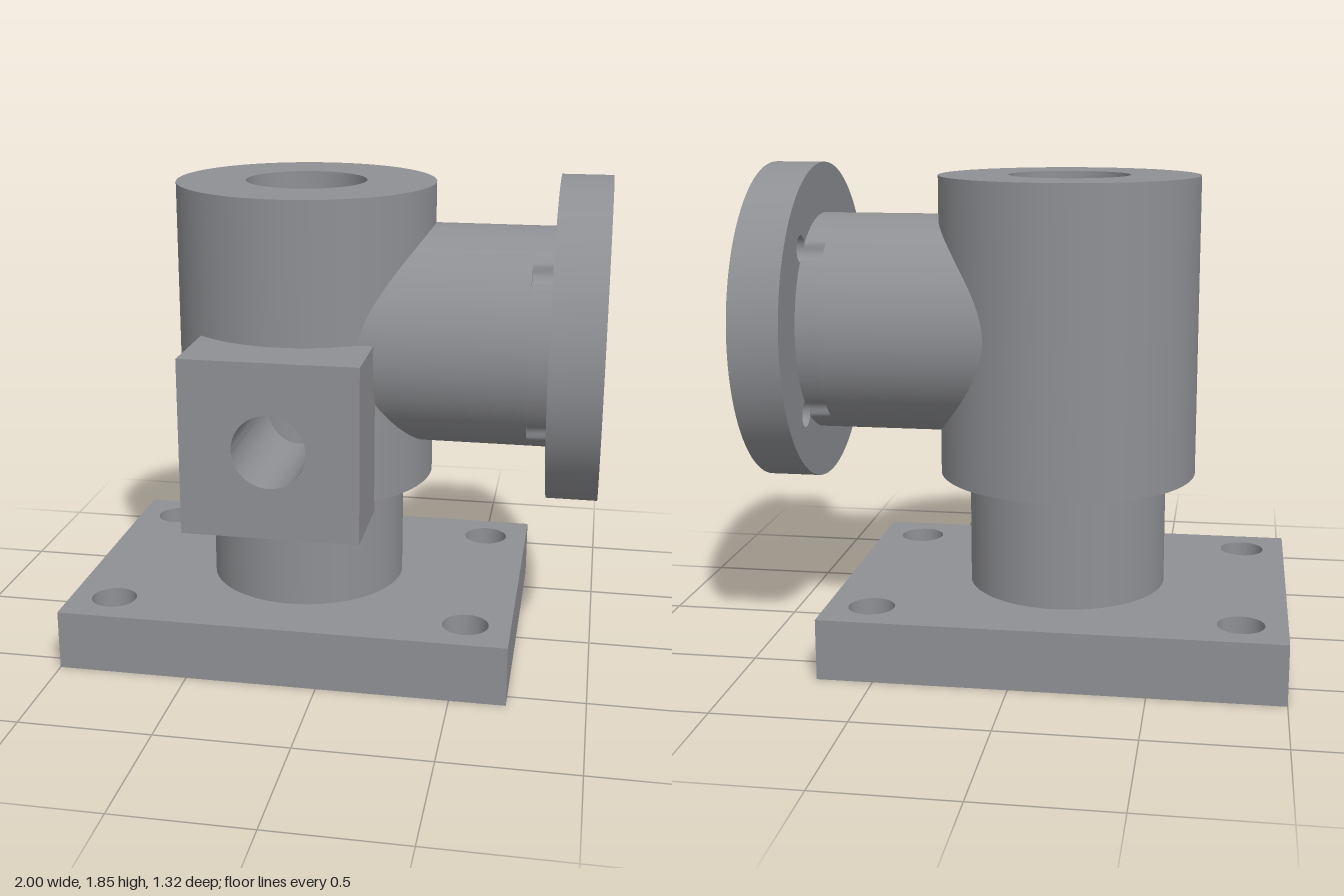
import * as THREE from 'three';
import { mergeGeometries, toCreasedNormals } from 'three/addons/utils/BufferGeometryUtils.js';

const SEG = 160;
const BORE_TOP = 0.23, BORE_LOW = 0.193, STEP_Y = 1.14, FLOOR_Y = 0.5;
const SIDE_Y = 1.24, SIDE_R = 0.21, PORT_Y = 0.955, PORT_R = 0.135;

// Closed loop of points from a rule of angle
const loop = (rule) => Array.from({ length: SEG }, (_, i) => rule((i / SEG) * Math.PI * 2));

// Skin between two closed loops
function loft(a, b, flip = false) {
  const g = new THREE.BufferGeometry().setFromPoints([...a, ...b]);
  const idx = [];
  for (let i = 0; i < SEG; i++) {
    const j = (i + 1) % SEG;
    if (flip) idx.push(i, j + SEG, j, i, i + SEG, j + SEG);
    else idx.push(i, j, j + SEG, i, j + SEG, i + SEG);
  }
  g.setIndex(idx);
  g.computeVertexNormals();
  return g;
}

// Upright round wall with round openings toward +x or +z (listed bottom to top)
function wall(R, y0, y1, holes, outward) {
  const clamp = (y) => Math.min(y1, Math.max(y0, y));
  const level = (h, sign) => (t) => {
    const off = R * (h.toSide ? Math.sin(t) : Math.cos(t));
    const ahead = h.toSide ? Math.cos(t) : Math.sin(t);
    const half = ahead > 0 && Math.abs(off) < h.r ? Math.sqrt(h.r * h.r - off * off) : 0;
    return clamp(h.y + sign * half);
  };
  const levels = [() => y0];
  for (const h of holes) levels.push(level(h, -1), level(h, 1));
  levels.push(() => y1);
  const loops = levels.map((f) => loop((t) => new THREE.Vector3(R * Math.cos(t), f(t), R * Math.sin(t))));
  const bands = [];
  for (let k = 0; k < loops.length; k += 2) bands.push(loft(loops[k], loops[k + 1], outward));
  return mergeGeometries(bands);
}

// Level bore running along +z, starting on the upright bore
function crossBore(r, y, end) {
  const point = (t, depth) => new THREE.Vector3(r * Math.cos(t), y + r * Math.sin(t), depth);
  const start = loop((t) => {
    const p = point(t, 0);
    const R = p.y >= STEP_Y ? BORE_TOP : BORE_LOW;
    return point(t, Math.sqrt(Math.max(0, R * R - p.x * p.x)));
  });
  return loft(start, loop((t) => point(t, end)), true);
}

function circleHole(x, y, r) {
  const p = new THREE.Path();
  p.absarc(x, y, r, 0, Math.PI * 2, true);
  return p;
}

// Plate with round holes [x, y, r], extruded along +z
function plate(shape, holes, depth) {
  shape.holes = holes.map((h) => circleHole(...h));
  const g = new THREE.ExtrudeGeometry(shape, { depth, bevelEnabled: false, curveSegments: 48 });
  return toCreasedNormals(g, 0.6);
}

function rectangle(hw, hh) {
  return new THREE.Shape([[-hw, -hh], [hw, -hh], [hw, hh], [-hw, hh]].map((p) => new THREE.Vector2(...p)));
}

const corners = (a, b, r) => [[-a, -b, r], [a, -b, r], [a, b, r], [-a, b, r]];

export function createModel() {
  const model = new THREE.Group();
  const housing = new THREE.Group();
  housing.name = 'valveHousing';
  housing.position.set(-0.145, 0, -0.045);
  model.add(housing);

  const metal = new THREE.MeshStandardMaterial({ color: 0x8f9094, side: THREE.DoubleSide });
  metal.name = 'greyMetal';
  const add = (name, geometry, y = 0) => {
    const m = new THREE.Mesh(geometry, metal);
    m.name = name;
    m.position.y = y;
    housing.add(m);
    return m;
  };

  // Base plate with four mounting holes, and the neck above it
  add('basePlate', plate(rectangle(0.855, 0.615), corners(0.685, 0.445, 0.087), 0.23).rotateX(-Math.PI / 2));
  add('neck', new THREE.CylinderGeometry(0.38, 0.38, 0.45, 96, 1, true), 0.45);

  // Main body: outer skin, rims and stepped upright bore
  const sideHole = { toSide: true, y: SIDE_Y, r: SIDE_R };
  const portHole = { toSide: false, y: PORT_Y, r: PORT_R };
  const bodyHoles = [{ ...portHole, r: 0.18 }, { ...sideHole, r: 0.25 }];
  add('bodySkin', wall(0.493, 0.67, 1.81, bodyHoles, true));
  add('bodyTop', new THREE.RingGeometry(BORE_TOP, 0.493, SEG).rotateX(-Math.PI / 2), 1.81);
  add('bodyUnderside', new THREE.RingGeometry(0.36, 0.493, SEG).rotateX(Math.PI / 2), 0.67);
  add('upperBore', wall(BORE_TOP, STEP_Y, 1.81, [sideHole], false));
  add('lowerBore', wall(BORE_LOW, FLOOR_Y, STEP_Y, [portHole, sideHole], false));
  add('boreStep', new THREE.RingGeometry(BORE_LOW, BORE_TOP, 96, 1, Math.PI / 3, Math.PI * 4 / 3)
    .rotateX(-Math.PI / 2), STEP_Y);
  add('boreFloor', new THREE.CircleGeometry(BORE_LOW, 96).rotateX(-Math.PI / 2), FLOOR_Y);

  // Side pipe, built along z and turned toward +x
  const toSide = (g, depth) => g.translate(0, 0, depth).rotateY(Math.PI / 2);
  const pipeR = 0.417, boltR = 0.05, boltAt = 0.31;
  const round = (r) => new THREE.Shape().absarc(0, 0, r, 0, Math.PI * 2);
  add('sidePipe', toSide(plate(round(pipeR), [[0, 0, 0.28]], 0.615), 0.26), SIDE_Y);

  // Pipe end with the bolt holes cut into its rim
  const notched = new THREE.Shape(Array.from({ length: 256 }, (_, i) => {
    const t = (i / 256) * Math.PI * 2;
    const d = (t % (Math.PI / 2)) - Math.PI / 4;
    const D = boltAt * Math.SQRT2;
    const inside = boltR ** 2 - (D * Math.sin(d)) ** 2;
    const r = inside > 0 ? Math.min(pipeR, D * Math.cos(d) - Math.sqrt(inside)) : pipeR;
    return new THREE.Vector2(r * Math.cos(t), r * Math.sin(t));
  }));
  add('notchedPipeEnd', toSide(plate(notched, [[0, 0, 0.28]], 0.08), 0.875), SIDE_Y);

  // Bolted flange and the bore leading through it
  const flangeHoles = [[0, 0, SIDE_R], ...corners(boltAt, boltAt, boltR)];
  add('flange', toSide(plate(round(0.61), flangeHoles, 0.19), 0.955), SIDE_Y);
  add('sideBore', toSide(crossBore(SIDE_R, SIDE_Y, 0.955), 0));

  // Square front port block with its bore
  add('portBlock', plate(rectangle(0.325, 0.325), [[0, 0, PORT_R]], 0.34).translate(0, 0, 0.365), PORT_Y);
  add('portBore', crossBore(PORT_R, PORT_Y, 0.37));

  return model;
}
